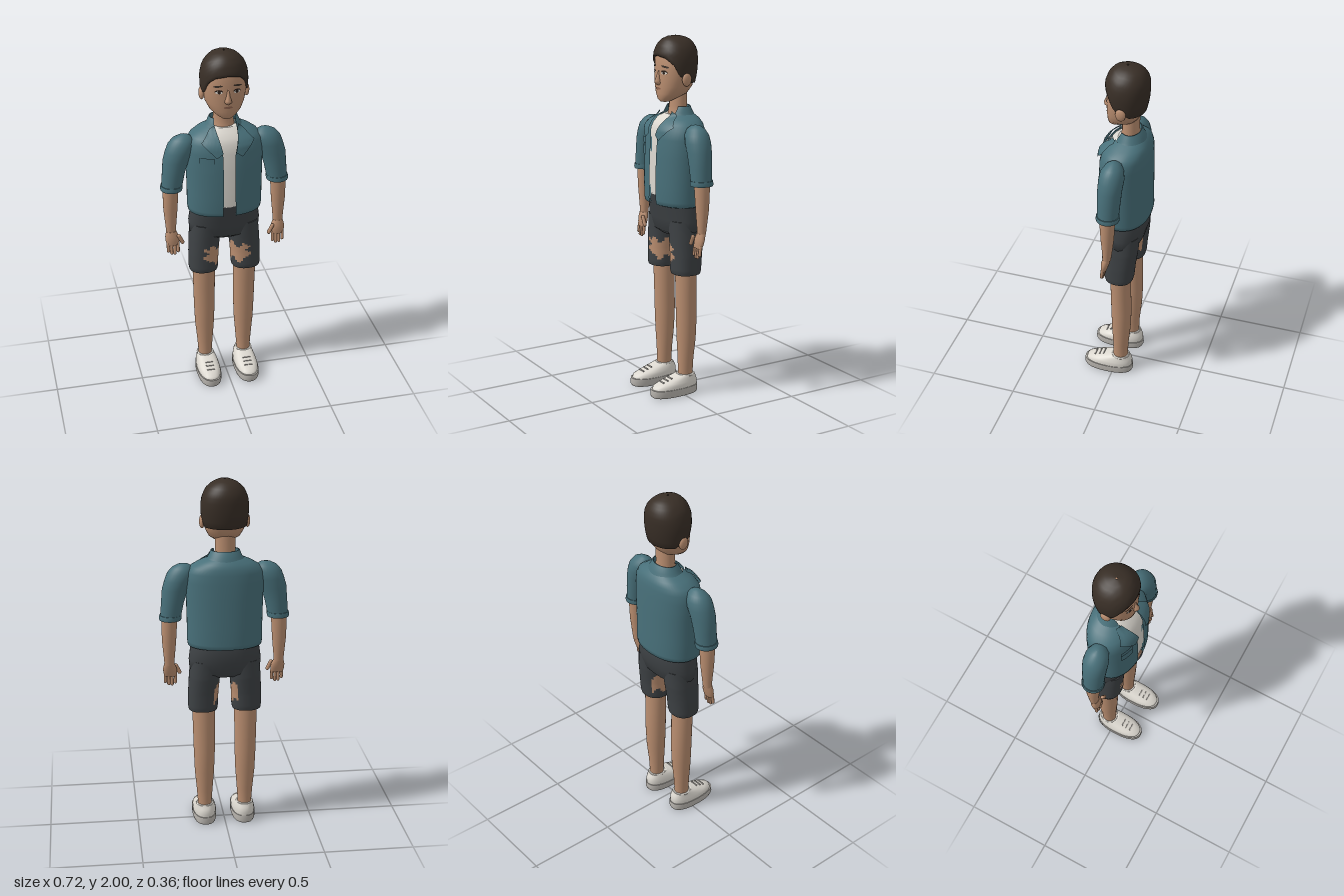
import * as THREE from 'three';

const mat = (name, color, side = THREE.DoubleSide) => Object.assign(new THREE.MeshStandardMaterial({ color, side }), { name });

// Cross-sections are rows of [y, centre x, front z, back z, half width, half front opening], lowest first.
const HEAD = [[1.645, 0, .05, 0, .025], [1.66, 0, .062, -.03, .05], [1.69, 0, .066, -.095, .085], [1.73, 0, .068, -.125, .105],
  [1.78, 0, .068, -.135, .115], [1.83, 0, .066, -.14, .118], [1.88, 0, .064, -.14, .113], [1.93, 0, .05, -.13, .09], [1.97, 0, .01, -.09, .04]];
const HAIR = [[1.74, 0, .06, -.138, .118], [1.8, 0, .076, -.152, .127], [1.86, 0, .077, -.157, .13], [1.91, 0, .075, -.157, .122],
  [1.95, 0, .06, -.145, .103], [1.98, 0, .035, -.118, .07], [1.995, 0, .005, -.085, .035], [2, 0, -.035, -.045, .004]];
const JACKET = [[1.08, 0, .09, -.16, .19, .035], [1.085, 0, .104, -.174, .203, .035], [1.11, 0, .108, -.178, .207, .035],
  [1.2, 0, .108, -.175, .207, .032], [1.35, 0, .104, -.175, .21, .032], [1.45, 0, .097, -.172, .213, .034],
  [1.5, 0, .088, -.17, .205, .045], [1.53, 0, .07, -.165, .185, .053], [1.555, 0, .045, -.155, .145, .058], [1.575, 0, .02, -.135, .1, .06]];
const HAIRLINE = [[0, 1.895], [.5, 1.885], [.9, 1.85], [1.25, 1.79], [1.4, 1.78], [1.6, 1.79], [1.9, 1.75], [3.2, 1.745]];

// Linear lookup in a table keyed by its first column
function at(rows, t) {
  let i = 0;
  while (i < rows.length - 2 && t > rows[i + 1][0]) i++;
  const a = rows[i], b = rows[i + 1];
  const f = THREE.MathUtils.clamp((t - a[0]) / (b[0] - a[0]), 0, 1);
  return a.map((v, k) => v + (b[k] - v) * f);
}

const bend = (v, e) => Math.sign(v) * Math.abs(v) ** e;
const ringPoint = ([y, cx, zf, zb, rx], a, e) =>
  [cx + rx * bend(Math.sin(a), e), y, (zf + zb) / 2 + (zf - zb) / 2 * bend(Math.cos(a), e)];

// Front surface depth of a lofted body
function frontZ(rows, x, y, e) {
  const [, , zf, zb, rx] = at(rows, y);
  const s = Math.min(1, Math.abs(x) / rx) ** (1 / e);
  return (zf + zb) / 2 + (zf - zb) / 2 * Math.sqrt(1 - s * s) ** e;
}

// Grid surface; paint(u, v) may pick a second material per cell
function grid(cols, rows, fn, { closed = true, cap = false, paint } = {}) {
  const w = closed ? cols : cols + 1, pos = [], idx = [[], []];
  for (let i = 0; i <= rows; i++) for (let j = 0; j < w; j++) pos.push(...fn(j / cols, i));
  for (let i = 0; i < rows; i++) for (let j = 0; j < cols; j++) {
    const a = i * w + j, b = i * w + (j + 1) % w, c = a + w, d = b + w;
    idx[paint && paint(j / cols, i) ? 1 : 0].push(a, b, d, a, d, c);
  }
  if (cap) for (const i of [0, rows]) {
    const base = pos.length / 3, centre = [0, 0, 0];
    for (let j = 0; j < w; j++) {
      const p = fn(j / cols, i);
      pos.push(...p);
      p.forEach((v, k) => { centre[k] += v / w; });
    }
    pos.push(...centre);
    for (let j = 0; j < w; j++) {
      const a = base + j, b = base + (j + 1) % w;
      idx[0].push(base + w, ...(i ? [a, b] : [b, a]));
    }
  }
  const g = new THREE.BufferGeometry();
  g.setAttribute('position', new THREE.Float32BufferAttribute(pos, 3));
  g.setIndex([...idx[0], ...idx[1]]);
  if (paint) { g.addGroup(0, idx[0].length, 0); g.addGroup(idx[0].length, idx[1].length, 1); }
  g.computeVertexNormals();
  return g;
}

// Body through stacked cross-sections; rows with an opening leave a slit in front
function loft(rows, { n = 28, e = 1, side = 1, ...opts } = {}) {
  const open = rows[0].length > 5;
  return grid(n, rows.length - 1, (u, i) => {
    const r = rows[i].slice();
    r[1] *= side;
    const gap = open ? Math.asin((r[5] / r[4]) ** (1 / e)) : 0;
    return ringPoint(r, gap + u * (2 * Math.PI - 2 * gap), e);
  }, { closed: !open, cap: !open, ...opts });
}

export function createModel() {
  const skin = mat('skin', 0xba8e70), teal = mat('jacket teal', 0x48707a), cream = mat('shirt cream', 0xdcd8d0);
  const charcoal = mat('shorts charcoal', 0x3e4245), brown = mat('hair brown', 0x382e26), grey = mat('sole grey', 0xbab6b0);
  const lip = mat('lip', 0x8f6450), dark = mat('eye dark', 0x2a1e18);
  const model = new THREE.Group();
  const add = (name, geo, m, parent = model) => {
    const mesh = new THREE.Mesh(geo, m);
    mesh.name = name;
    parent.add(mesh);
    return mesh;
  };

  // Head, neck and nose
  add('head', loft(HEAD, { n: 36, e: .92 }), skin);
  add('neck', loft([[1.5, 0, .02, -.12, .075], [1.57, 0, -.002, -.11, .06], [1.62, 0, -.012, -.105, .055], [1.72, 0, -.012, -.105, .055]]), skin);
  add('nose', loft([[1.738, 0, .076, .03, .014], [1.748, 0, .088, .03, .021], [1.76, 0, .09, .03, .018], [1.785, 0, .08, .03, .011], [1.82, 0, .067, .03, .008]], { n: 14 }), skin);

  // Hair shell with a shaped hairline
  add('hair', grid(48, 12, (u, i) => {
    const a = u * 2 * Math.PI, low = at(HAIRLINE, Math.min(a, 2 * Math.PI - a))[1];
    if (i === 0) return ringPoint(at(HEAD, low), a, .92);
    const p = ringPoint(at(HAIR, low + (2 - low) * Math.sin((i - 1) / 11 * Math.PI / 2)), a, .95);
    return p;
  }), brown);

  // Face details laid on the head
  const decal = (name, m, x, y, w, h, off, turn = 0) => {
    const g = new THREE.CircleGeometry(1, 20).scale(w / 2, h / 2, 1).rotateZ(turn).translate(x, y, 0);
    const p = g.attributes.position;
    for (let i = 0; i < p.count; i++) p.setZ(i, frontZ(HEAD, p.getX(i), p.getY(i), .92) + off);
    g.computeVertexNormals();
    add(name, g, m);
  };
  decal('mouth', lip, 0, 1.718, .05, .013, .003);
  for (const s of [1, -1]) {
    decal('eyeLid', dark, s * .049, 1.808, .042, .022, .002, -s * .1);
    decal('eyeWhite', cream, s * .049, 1.804, .036, .015, .003);
    decal('iris', dark, s * .048, 1.805, .017, .017, .004);
    decal('eyebrow', brown, s * .052, 1.838, .05, .011, .003, -s * .15);
    add('ear', new THREE.SphereGeometry(1, 16, 12).scale(.015, .036, .028).translate(s * .122, 1.77, -.037), skin);
  }

  // Shirt under the open jacket
  const inner = JACKET.filter(r => r[0] > 1.15).map(([y, x, f, b, w]) => [y, x, f - .012, b + .02, w - .02]);
  add('shirt', loft([[1.135, 0, .096, -.15, .185], ...inner], { e: .9 }), cream);

  // Jacket body, hem, collar, lapels and pocket
  add('jacketBody', loft(JACKET, { n: 48, e: .9 }), teal);
  add('jacketLining', loft([[1.085, 0, .085, -.155, .185, .036], [1.1, 0, .098, -.165, .195, .036], [1.45, 0, .088, -.16, .2, .036]], { n: 40, e: .9 }), teal);
  add('collar', loft([[1.56, 0, .02, -.145, .115, .06], [1.585, 0, .015, -.135, .092, .06], [1.62, 0, -.005, -.118, .078, .058],
    [1.618, 0, -.012, -.11, .07, .058], [1.57, 0, -.01, -.115, .075, .058]], { n: 32 }), teal);
  const patch = (name, [a, b, c, d], off) => add(name, grid(8, 8, (u, i) => {
    const v = i / 8, mix = k => (a[k] * (1 - u) + b[k] * u) * (1 - v) + (d[k] * (1 - u) + c[k] * u) * v;
    const x = mix(0), y = mix(1);
    return [x, y, frontZ(JACKET, x, y, .9) + off];
  }, { closed: false }), teal);
  for (const s of [1, -1]) {
    const quad = [[.035, 1.47], [.07, 1.445], [.145, 1.52], [.065, 1.6]].map(([x, y]) => [s * x, y]);
    patch('lapel', s > 0 ? quad : [quad[1], quad[0], quad[3], quad[2]], .018);
  }
  patch('pocket', [[-.155, 1.345], [-.085, 1.345], [-.085, 1.44], [-.155, 1.44]], .006);
  patch('pocketFlap', [[-.157, 1.41], [-.083, 1.41], [-.083, 1.442], [-.157, 1.442]], .009);

  // Hips of the shorts
  add('shortsHips', loft([[.905, 0, .02, -.11, .1], [.93, 0, .052, -.138, .195], [1, 0, .068, -.157, .2], [1.07, 0, .08, -.163, .19], [1.14, 0, .096, -.15, .18]], { n: 36, e: .88 }), charcoal);

  for (const side of [1, -1]) {
    const limb = new THREE.Group();
    limb.name = side > 0 ? 'leftLimbs' : 'rightLimbs';
    model.add(limb);
    const part = (name, rows, m, opts) => add(name, loft(rows, { side, ...opts }), m, limb);

    // Sleeve with a turned cuff
    part('sleeve', [[1.245, .294, .036, -.08, .057], [1.32, .284, .038, -.085, .062], [1.4, .268, .04, -.09, .072], [1.45, .25, .04, -.095, .076],
      [1.49, .238, .034, -.09, .073], [1.52, .228, .015, -.075, .058], [1.537, .224, -.008, -.052, .03], [1.541, .224, -.025, -.035, .006]], teal);
    part('sleeveCuff', [[1.225, .297, .04, -.084, .06], [1.235, .297, .042, -.086, .062], [1.252, .295, .04, -.084, .06]], teal);

    // Arm and hand
    part('arm', [[.96, .305, .004, -.04, .027], [1, .305, .006, -.045, .03], [1.1, .305, .014, -.057, .039], [1.2, .303, .02, -.062, .043], [1.3, .295, .02, -.065, .045]], skin);
    part('palm', [[.885, .299, .014, -.015, .034], [.91, .3, .015, -.024, .039], [.935, .302, .013, -.032, .038], [.965, .305, .006, -.038, .028]], skin, { n: 18 });
    for (let k = 0; k < 4; k++) {
      const len = [.05, .062, .06, .045][k];
      add('finger', new THREE.CapsuleGeometry(.009, len, 4, 8).rotateX(-.12).translate(side * (.271 + k * .0185), .895 - len / 2, .004), skin, limb);
    }
    add('thumb', new THREE.CapsuleGeometry(.011, .045, 4, 8).rotateZ(-side * .45).translate(side * .257, .922, .012), skin, limb);

    // Shorts leg with a ragged hole on the inner side
    const legShape = [[.7, .122, .045, -.11, .08], [.72, .122, .05, -.115, .083], [.8, .12, .05, -.122, .084], [.9, .113, .052, -.135, .086], [1, .105, .055, -.14, .085]];
    const rows = Array.from({ length: 31 }, (_, i) => at(legShape, .7 + i * .01));
    part('shortsLeg', rows, [charcoal, skin], {
      n: 40, e: .88,
      paint: (u, i) => {
        const a = (u + .0125) * 2 * Math.PI, y = .705 + i * .01, jag = Math.sin(Math.floor(u * 40 + .01) * 7.3) * .02;
        const reach = .08 - Math.abs(y - .815) * 3 + Math.sin(i * 5.1) * .15;
        return Math.sin(a) * side < reach && Math.cos(a) > -.85 && y > .755 + jag && y < .855 + jag;
      },
    });

    // Bare leg
    part('leg', [[.08, .115, .005, -.08, .038], [.12, .115, .005, -.08, .039], [.2, .115, .006, -.083, .045], [.32, .116, .012, -.095, .055],
      [.45, .116, .016, -.1, .06], [.58, .117, .018, -.097, .062], [.72, .118, .022, -.096, .065]], skin);

    // Shoe: sole, upper, ankle rim and laces
    part('shoeSole', [[0, .112, .175, -.105, .064], [.012, .112, .182, -.11, .068], [.045, .112, .18, -.109, .068]], grey, { e: .82 });
    part('shoeUpper', [[.04, .112, .172, -.105, .065], [.06, .112, .165, -.106, .065], [.075, .112, .128, -.105, .061], [.09, .112, .085, -.1, .055],
      [.1, .113, .05, -.094, .051], [.11, .114, .022, -.09, .046]], cream, { e: .85 });
    add('ankleRim', new THREE.TorusGeometry(.044, .006, 8, 24).rotateX(Math.PI / 2).translate(side * .115, .108, -.036), cream, limb);
    for (const [y, z] of [[.081, .115], [.09, .089], [.098, .064]])
      add('lace', new THREE.BoxGeometry(.046, .006, .007).rotateX(.35).translate(side * .112, y, z), grey, limb);
  }
  return model;
}
